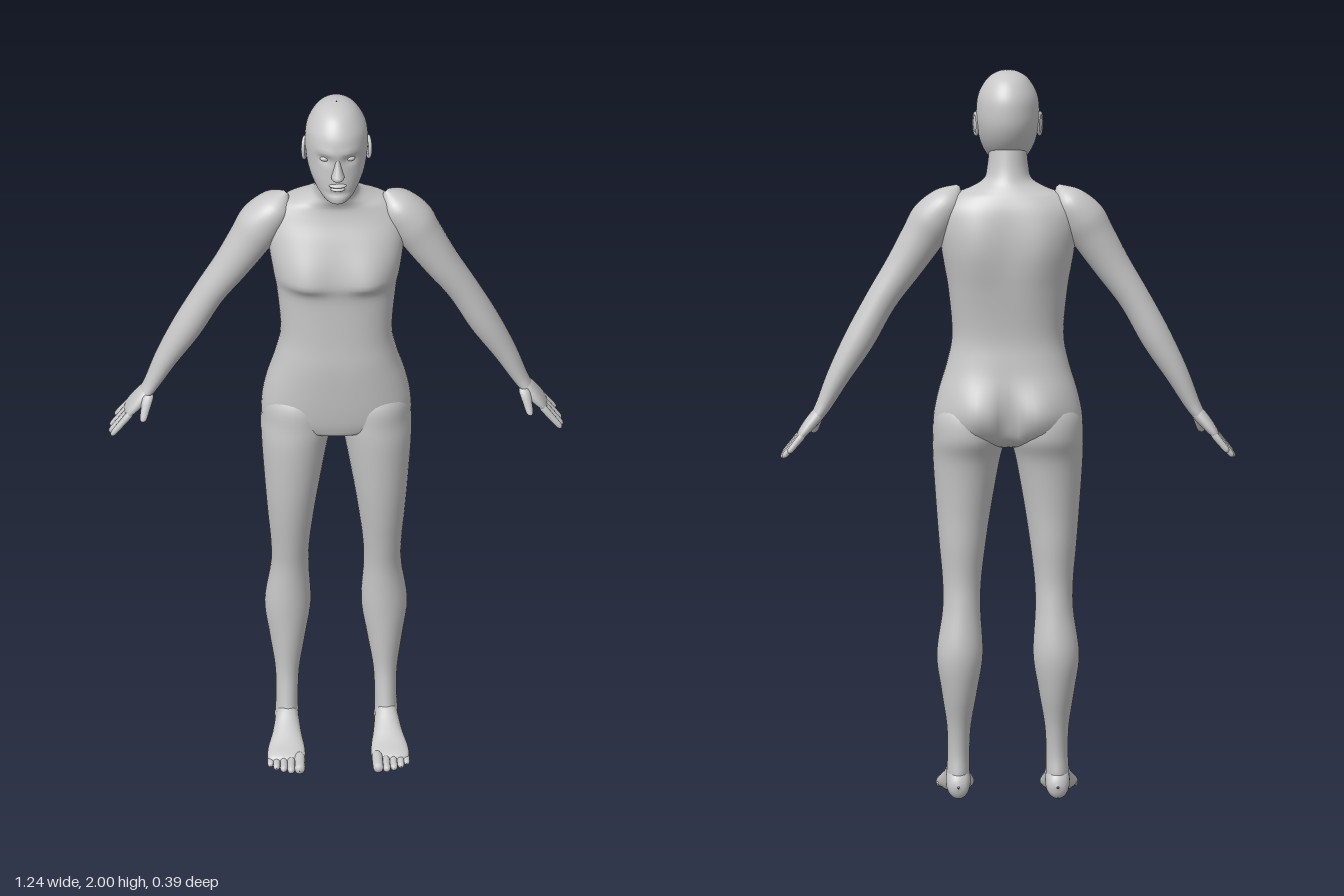
import * as THREE from 'three';

const skin = new THREE.MeshStandardMaterial({ color: 0xc8c8c8 });
skin.name = 'plainGrey';

const X = new THREE.Vector3(1, 0, 0), Y = new THREE.Vector3(0, 1, 0), Z = new THREE.Vector3(0, 0, 1);

// Smooth skin through superellipse rings [cx, cy, cz, radiusU, radiusV, exponent]
function loft(keys, U, V, segs = 28, steps = 4) {
  const rings = [];
  const at = i => keys[Math.min(Math.max(i, 0), keys.length - 1)];
  for (let i = 0; i < keys.length - 1; i++) {
    for (let s = 0; s < steps; s++) {
      const t = s / steps, [a, b, c, d] = [at(i - 1), at(i), at(i + 1), at(i + 2)];
      rings.push(b.map((q, k) => 0.5 * (2 * q + (c[k] - a[k]) * t
        + (2 * a[k] - 5 * q + 4 * c[k] - d[k]) * t * t + (3 * q - a[k] - 3 * c[k] + d[k]) * t * t * t)));
    }
  }
  rings.push(at(keys.length));
  const pos = [], idx = [];
  const power = (v, n) => Math.sign(v) * Math.abs(v) ** (2 / n);
  rings.forEach(([x, y, z, ru, rv, n], i) => {
    for (let j = 0; j < segs; j++) {
      const t = (j / segs) * Math.PI * 2;
      const p = new THREE.Vector3(x, y, z)
        .addScaledVector(U, Math.max(ru, 0.0005) * power(Math.cos(t), n))
        .addScaledVector(V, Math.max(rv, 0.0005) * power(Math.sin(t), n));
      pos.push(p.x, p.y, p.z);
      if (i < rings.length - 1) {
        const a = i * segs + j, b = i * segs + (j + 1) % segs;
        idx.push(a, b, a + segs, b, b + segs, a + segs);
      }
    }
  });
  const g = new THREE.BufferGeometry();
  g.setAttribute('position', new THREE.Float32BufferAttribute(pos, 3));
  g.setIndex(idx);
  g.computeVertexNormals();
  return g;
}

// Level rings from rows [y, xMin, xMax, zBack, zFront, exponent], listed downwards
const level = rows => rows.map(([y, x0, x1, z0, z1, n = 2]) =>
  [(x0 + x1) / 2, y, (z0 + z1) / 2, (x1 - x0) / 2, (z1 - z0) / 2, n]);
const centred = rows => level(rows.map(([y, r, ...rest]) => [y, -r, r, ...rest]));

// Move vertices by a rule
function sculpt(g, rule) {
  const p = g.attributes.position, v = new THREE.Vector3();
  for (let i = 0; i < p.count; i++) {
    rule(v.fromBufferAttribute(p, i));
    p.setXYZ(i, v.x, v.y, v.z);
  }
  g.computeVertexNormals();
  return g;
}
const bump = (d, w) => Math.exp(-((d / w) ** 2));

function mirrored(g) {
  const m = g.clone().scale(-1, 1, 1), a = m.index.array;
  for (let i = 0; i < a.length; i += 3) [a[i], a[i + 1]] = [a[i + 1], a[i]];
  return m;
}

// Tapered, round-ended digit
function digit(from, to, r0, r1, U, V) {
  const keys = [[0, 0.6], [0.15, 1], [0.55, 1], [0.85, 1], [0.96, 0.7], [1, 0.02]].map(([t, k]) => {
    const c = from.map((q, i) => q + (to[i] - q) * t), r = (r0 + (r1 - r0) * t) * k;
    return [...c, r, r, 2];
  });
  return loft(keys, U, V, 12, 2);
}

function ball(x, y, z, rx, ry, rz) {
  return new THREE.SphereGeometry(1, 20, 14).scale(rx, ry, rz).translate(x, y, z);
}

export function createModel() {
  const model = new THREE.Group();
  model.name = 'figure';
  const add = (name, g, parent = model) => {
    const m = new THREE.Mesh(g, skin);
    m.name = name;
    parent.add(m);
  };
  const pair = (name, g) => {
    add('left' + name, g);
    add('right' + name, mirrored(g));
  };

  // Neck and torso
  const torso = loft(centred([
    [1.80, 0.05, -0.10, 0.01], [1.74, 0.056, -0.112, 0.022], [1.705, 0.066, -0.125, 0.01],
    [1.683, 0.105, -0.14, 0.0], [1.665, 0.15, -0.152, -0.002], [1.63, 0.183, -0.166, 0.008, 2.1],
    [1.58, 0.188, -0.173, 0.03, 2.3], [1.52, 0.182, -0.174, 0.05, 2.4], [1.46, 0.172, -0.17, 0.06, 2.4],
    [1.40, 0.162, -0.163, 0.055, 2.4], [1.28, 0.152, -0.15, 0.057, 2.4], [1.20, 0.166, -0.157, 0.061, 2.4],
    [1.12, 0.19, -0.166, 0.058, 2.4], [1.05, 0.203, -0.166, 0.053, 2.4], [1.0, 0.195, -0.15, 0.045, 2.3],
    [0.975, 0.12, -0.11, 0.03], [0.965, 0.01, -0.05, -0.03],
  ]), X, Z, 64, 5);
  sculpt(torso, v => {
    const ax = Math.abs(v.x), front = v.z > -0.04, back = v.z < -0.09;
    if (front) {
      const dy = v.y - 1.465;
      v.z += 0.022 * bump(ax - 0.09, 0.06) * bump(dy, dy > 0 ? 0.09 : 0.025);
    }
    if (back) {
      v.z -= 0.03 * bump(ax - 0.085, 0.065) * bump(v.y - 1.065, 0.075);
      v.z += 0.022 * bump(ax, 0.014) * bump(v.y - 1.04, 0.07);
      v.z -= 0.014 * bump(ax - 0.09, 0.06) * bump(v.y - 1.53, 0.11);
    }
  });
  add('torso', torso);

  // Head with shallow eye sockets
  const head = loft(centred([
    [2.0, 0.001, -0.031, -0.029], [1.994, 0.03, -0.072, 0.008], [1.975, 0.057, -0.108, 0.043],
    [1.935, 0.08, -0.134, 0.073], [1.89, 0.086, -0.14, 0.08], [1.85, 0.084, -0.135, 0.077],
    [1.81, 0.077, -0.116, 0.079], [1.775, 0.063, -0.085, 0.081], [1.75, 0.045, -0.04, 0.082],
    [1.737, 0.026, 0.005, 0.075], [1.734, 0.001, 0.04, 0.042],
  ]), X, Z, 56, 5);
  sculpt(head, v => {
    if (v.z < 0.01) return;
    const ax = Math.abs(v.x);
    v.z -= 0.011 * bump(ax - 0.034, 0.018) * bump(v.y - 1.872, 0.014);
    v.z += 0.005 * bump(ax - 0.03, 0.03) * bump(v.y - 1.897, 0.012);
    v.z -= 0.005 * bump(ax, 0.03) * bump(v.y - 1.77, 0.007);
  });
  add('head', head);

  // Face
  add('nose', loft(centred([
    [1.882, 0.007, 0.055, 0.077], [1.86, 0.009, 0.055, 0.086], [1.838, 0.014, 0.055, 0.099],
    [1.826, 0.018, 0.055, 0.104], [1.818, 0.014, 0.06, 0.096], [1.816, 0.001, 0.07, 0.075],
  ]), X, Z, 20, 3));
  add('upperLip', ball(0, 1.797, 0.078, 0.024, 0.006, 0.011));
  add('lowerLip', ball(0, 1.786, 0.077, 0.02, 0.006, 0.011));
  pair('Eye', ball(0.034, 1.872, 0.056, 0.014, 0.008, 0.01));

  // Ears: raised rim around a thin shell
  const tilt = g => g.rotateY(Math.PI / 2 + 0.3).rotateX(-0.15).translate(0.087, 1.853, -0.035);
  pair('EarRim', tilt(new THREE.TorusGeometry(0.022, 0.005, 8, 24).scale(0.75, 1.3, 1)));
  pair('EarShell', tilt(new THREE.SphereGeometry(1, 16, 12).scale(0.016, 0.028, 0.006)));

  // Arms
  const armU = new THREE.Vector3(0.87, 0.492, 0);
  pair('Arm', loft([
    [0.135, 1.69, -0.075, 0.005, 0.005, 2], [0.16, 1.655, -0.076, 0.044, 0.055, 2],
    [0.2, 1.602, -0.075, 0.062, 0.066, 2], [0.235, 1.545, -0.072, 0.058, 0.06, 2],
    [0.285, 1.465, -0.071, 0.05, 0.053, 2], [0.345, 1.375, -0.075, 0.043, 0.048, 2],
    [0.403, 1.27, -0.08, 0.042, 0.047, 2], [0.46, 1.17, -0.084, 0.032, 0.039, 2],
    [0.5, 1.09, -0.084, 0.022, 0.032, 2], [0.52, 1.057, -0.083, 0.016, 0.032, 2],
    [0.53, 1.045, -0.083, 0.004, 0.01, 2],
  ], armU, Z, 32, 5));

  // Hands
  const handU = new THREE.Vector3(0.766, 0.643, 0);
  pair('Palm', loft([
    [0.497, 1.088, -0.084, 0.012, 0.022, 2], [0.515, 1.064, -0.083, 0.018, 0.033, 2.2],
    [0.537, 1.038, -0.083, 0.017, 0.041, 2.4], [0.557, 1.014, -0.085, 0.013, 0.043, 2.6],
    [0.568, 1.0, -0.086, 0.008, 0.038, 2.4], [0.571, 0.997, -0.086, 0.001, 0.02, 2],
  ], handU, Z, 24, 3));
  const fingers = [['Index', -0.054, -0.045, 0.95], ['Middle', -0.075, -0.072, 1.02],
    ['Ring', -0.096, -0.098, 0.96], ['Little', -0.117, -0.125, 0.72]];
  for (const [name, z0, z1, k] of fingers) {
    pair(name + 'Finger', digit([0.555, 1.014, z0], [0.555 + 0.06 * k, 1.014 - 0.073 * k, z1], 0.0105, 0.008, handU, Z));
  }
  pair('Thumb', digit([0.51, 1.068, -0.057], [0.527, 1.0, -0.02], 0.017, 0.009, X, Z));

  // Legs
  pair('Leg', loft(level([
    [1.13, 0.06, 0.15, -0.12, 0.0], [1.07, 0.012, 0.197, -0.165, 0.045], [1.0, 0.006, 0.205, -0.172, 0.051],
    [0.93, 0.022, 0.204, -0.146, 0.052], [0.8, 0.045, 0.195, -0.128, 0.043], [0.7, 0.06, 0.187, -0.122, 0.03],
    [0.6, 0.072, 0.178, -0.115, 0.012], [0.52, 0.074, 0.178, -0.122, 0.0], [0.4, 0.068, 0.194, -0.138, -0.005],
    [0.3, 0.083, 0.181, -0.125, -0.008], [0.2, 0.1, 0.166, -0.098, -0.01], [0.12, 0.104, 0.164, -0.087, 0.002],
    [0.06, 0.104, 0.166, -0.092, 0.015], [0.03, 0.115, 0.155, -0.08, 0.0],
  ]), X, Z, 36, 5));

  // Feet: sections run from heel to ball, with a flat sole
  const foot = loft([
    [0.135, 0.035, -0.103, 0.003, 0.003, 2], [0.135, 0.035, -0.093, 0.024, 0.03, 2],
    [0.135, 0.045, -0.06, 0.033, 0.045, 2.2], [0.135, 0.052, -0.01, 0.033, 0.055, 2.2],
    [0.137, 0.037, 0.04, 0.04, 0.04, 2.2], [0.14, 0.024, 0.09, 0.05, 0.024, 2.4],
    [0.141, 0.018, 0.125, 0.051, 0.016, 2.4], [0.139, 0.016, 0.14, 0.042, 0.01, 2.2],
    [0.138, 0.016, 0.145, 0.01, 0.002, 2],
  ], X, Y, 32, 4);
  pair('Foot', sculpt(foot, v => { v.y = Math.max(v.y, 0.003); }));
  const toes = [[0.105, 0.195, 0.0145], [0.128, 0.192, 0.0105], [0.148, 0.184, 0.01], [0.167, 0.172, 0.0095], [0.183, 0.155, 0.009]];
  toes.forEach(([x, z, r], i) => {
    pair('Toe' + (i + 1), digit([x, r + 0.008, z - 0.075], [x + 0.002, r, z], r, r, X, Y));
  });

  return model;
}
